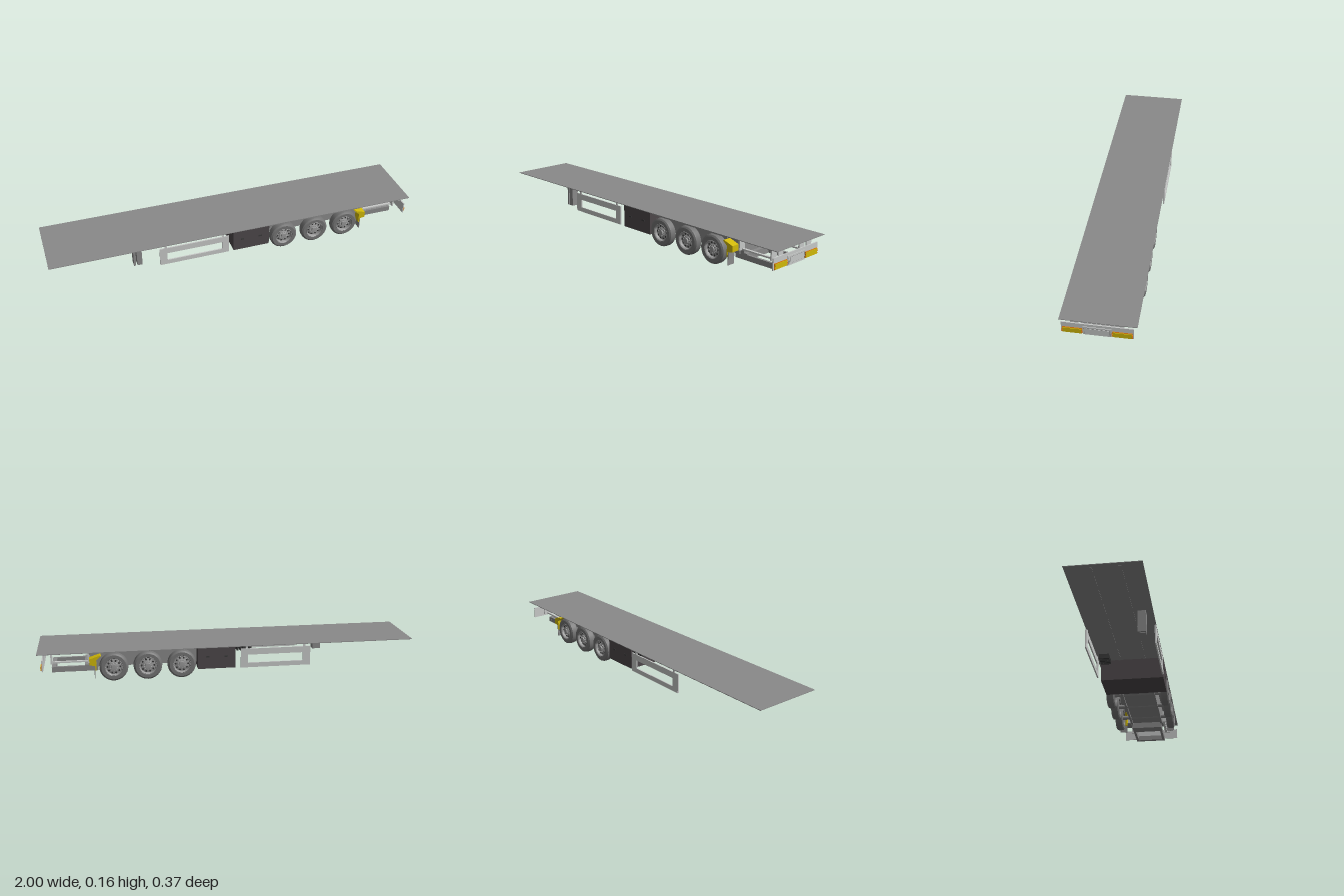
import * as THREE from 'three';
import { toCreasedNormals } from 'three/addons/utils/BufferGeometryUtils.js';

const material = (name, color, side = THREE.FrontSide) => {
  const m = new THREE.MeshStandardMaterial({ color, side });
  m.name = name;
  return m;
};

export function createModel() {
  const model = new THREE.Group();
  model.name = 'flatbedTrailer';
  const grey = material('steel grey', 0x8a8a8a, THREE.DoubleSide);
  const light = material('light grey', 0xc8cac9);
  const black = material('box charcoal', 0x4e484b);
  const tyreGrey = material('tyre grey', 0x757575);
  const rimGrey = material('rim grey', 0x999999);
  const dark = material('dark recess', 0x3a3a3a);
  const yellow = material('marker yellow', 0xd2ba08);
  const orange = material('marker orange', 0xdf7a10);

  const add = (name, geometry, mat, parent = model) => {
    const mesh = new THREE.Mesh(geometry, mat);
    mesh.name = name;
    parent.add(mesh);
    return mesh;
  };
  // Box given by its two opposite corners
  const box = (name, mat, x0, x1, y0, y1, z0, z1, parent) => {
    const mesh = add(name, new THREE.BoxGeometry(x1 - x0, y1 - y0, z1 - z0), mat, parent);
    mesh.position.set((x0 + x1) / 2, (y0 + y1) / 2, (z0 + z1) / 2);
    return mesh;
  };
  const MID = 0.0055; // centre line of the running gear
  const sides = [1, -1];
  // Box mirrored about the centre line, from a to b outwards
  const pair = (name, mat, x0, x1, y0, y1, a, b) => sides.forEach(s =>
    box(name, mat, x0, x1, y0, y1, MID + Math.min(s * a, s * b), MID + Math.max(s * a, s * b)));

  // Deck and shallow rails beneath it
  box('deck', grey, -1, 1, 0.161, 0.164, -0.183, 0.178);
  pair('deckRail', grey, -0.98, -0.03, 0.159, 0.161, 0.06, 0.075);

  // Landing leg: channel with flanges
  box('landingLegWeb', grey, -0.565, -0.52, 0.045, 0.162, 0.102, 0.108);
  box('landingLegFlange', grey, -0.565, -0.555, 0.045, 0.162, 0.102, 0.142);
  box('landingLegTube', grey, -0.547, -0.52, 0.045, 0.162, 0.102, 0.142);

  // Side guards: frame with a cut-out and two hangers
  const guard = new THREE.Shape();
  guard.moveTo(-0.433, 0.045).lineTo(-0.057, 0.045).lineTo(-0.057, 0.148).lineTo(-0.433, 0.148);
  const opening = new THREE.Path();
  opening.moveTo(-0.393, 0.07).lineTo(-0.393, 0.115).lineTo(-0.094, 0.115).lineTo(-0.094, 0.07);
  guard.holes.push(opening);
  for (const z of [0.172, -0.182]) {
    add('sideGuard', new THREE.ExtrudeGeometry(guard, { depth: 0.007, bevelEnabled: false }), light).position.z = z;
    for (const x of [-0.405, -0.095])
      box('guardHanger', light, x, x + 0.012, 0.145, 0.162, z + 0.001, z + 0.006);
  }

  // Storage box with latches and ribbed tank
  box('storageBox', black, -0.03, 0.17, 0.043, 0.161, -0.167, 0.176);
  for (const x of [0.01, 0.11]) {
    box('boxLatch', dark, x, x + 0.018, 0.105, 0.113, 0.174, 0.179);
    box('boxLatch', dark, x, x + 0.018, 0.105, 0.113, -0.17, -0.165);
  }
  for (let i = 0; i < 5; i++)
    box('tankRib', dark, -0.115 + i * 0.017, -0.105 + i * 0.017, 0.135, 0.161, -0.165, -0.11);

  // Chassis between the wheels
  box('chassisBody', grey, 0.17, 0.74, 0.07, 0.157, -0.085, 0.096);
  pair('chassisRail', grey, 0.17, 0.72, 0.06, 0.161, 0.085, 0.097);
  pair('wheelCover', grey, 0.19, 0.7, 0.155, 0.16, 0.125, 0.168);

  // Wheels
  const V = pts => pts.map(([r, h]) => new THREE.Vector2(r, h));
  const lathe = pts => toCreasedNormals(new THREE.LatheGeometry(V(pts), 32).rotateX(Math.PI / 2), 0.6);
  const tyre = lathe([[0, -0.016], [0.044, -0.016], [0.048, -0.0225], [0.065, -0.0225], [0.073, -0.017],
    [0.075, -0.009], [0.075, 0.009], [0.073, 0.017], [0.065, 0.0225], [0.048, 0.0225], [0.045, 0.018]]);
  const rim = lathe([[0.047, 0.02], [0.045, 0.022], [0.042, 0.019], [0.04, 0.007], [0.025, 0.011],
    [0.024, 0.014], [0.015, 0.015], [0.014, 0.022], [0, 0.023]]);
  const disc = (r, h) => new THREE.CylinderGeometry(r, r, h, 10).rotateX(Math.PI / 2);
  const hole = disc(0.005, 0.004), bolt = disc(0.0017, 0.005);
  for (const x of [0.255, 0.433, 0.61]) {
    const axle = add('axle', new THREE.CylinderGeometry(0.012, 0.012, 0.29, 12).rotateX(Math.PI / 2), grey);
    axle.position.set(x, 0.0755, MID);
    for (const s of sides) {
      const wheel = new THREE.Group();
      wheel.name = 'wheel';
      wheel.position.set(x, 0.0755, MID + s * 0.155);
      if (s < 0) wheel.rotation.y = Math.PI;
      add('tyre', tyre, tyreGrey, wheel);
      add('rim', rim, rimGrey, wheel);
      for (let i = 0; i < 10; i++) {
        const a = i * Math.PI / 5, b = a + Math.PI / 10;
        add('rimHole', hole, dark, wheel).position.set(0.033 * Math.cos(a), 0.033 * Math.sin(a), 0.0085);
        add('wheelNut', bolt, light, wheel).position.set(0.02 * Math.cos(b), 0.02 * Math.sin(b), 0.0155);
      }
      model.add(wheel);
    }
  }

  // Yellow mudguards and flaps behind the last wheels
  const mudguard = new THREE.Shape();
  mudguard.moveTo(0.7, 0.06).lineTo(0.706, 0.06).lineTo(0.706, 0.085).lineTo(0.735, 0.09)
    .lineTo(0.735, 0.122).lineTo(0.68, 0.14).lineTo(0.675, 0.137).lineTo(0.7, 0.115);
  for (const s of sides) {
    const guardMesh = add('mudguard', new THREE.ExtrudeGeometry(mudguard, { depth: 0.044, bevelEnabled: false }), yellow);
    guardMesh.position.z = MID + s * 0.147 - 0.022;
  }
  pair('mudflap', grey, 0.7065, 0.7105, 0.018, 0.085, 0.125, 0.168);

  // Rear underframe: lower ring, posts and side rails
  pair('lowerRail', grey, 0.69, 0.932, 0.036, 0.064, 0.076, 0.09);
  box('lowerCrossbar', grey, 0.91, 0.932, 0.036, 0.064, -0.085, 0.096);
  box('lowerCrossplate', grey, 0.69, 0.76, 0.036, 0.07, -0.085, 0.096);
  pair('rearPost', light, 0.926, 0.934, 0.09, 0.161, 0.087, 0.125);
  pair('frontPost', light, 0.735, 0.743, 0.09, 0.161, 0.087, 0.125);
  pair('upperRail', light, 0.735, 0.934, 0.09, 0.098, 0.095, 0.108);

  // Rear bumper, hangers and plate holder
  box('bumper', light, 0.972, 0.978, 0.065, 0.125, -0.163, 0.174);
  pair('bumperHanger', light, 0.966, 0.972, 0.115, 0.161, 0.087, 0.125);
  box('plateHolder', light, 0.978, 0.981, 0.063, 0.111, -0.061, 0.072);
  box('plateRecess', grey, 0.981, 0.9815, 0.072, 0.103, -0.052, 0.055);
  box('plate', light, 0.9815, 0.983, 0.0735, 0.1015, -0.0505, 0.0535);
  pair('plateLamp', grey, 0.981, 0.9825, 0.07, 0.104, 0.0595, 0.061);

  // Lamp clusters with orange trim
  pair('lampTrim', orange, 0.978, 0.981, 0.067, 0.098, 0.07, 0.162);
  pair('lamp', yellow, 0.981, 0.984, 0.0685, 0.095, 0.072, 0.16);
  for (let i = 0; i < 3; i++)
    for (const z of [0.068, 0.159])
      pair('lampClip', orange, 0.981, 0.985, 0.073 + i * 0.008, 0.076 + i * 0.008, z, z + 0.006);

  return model;
}
